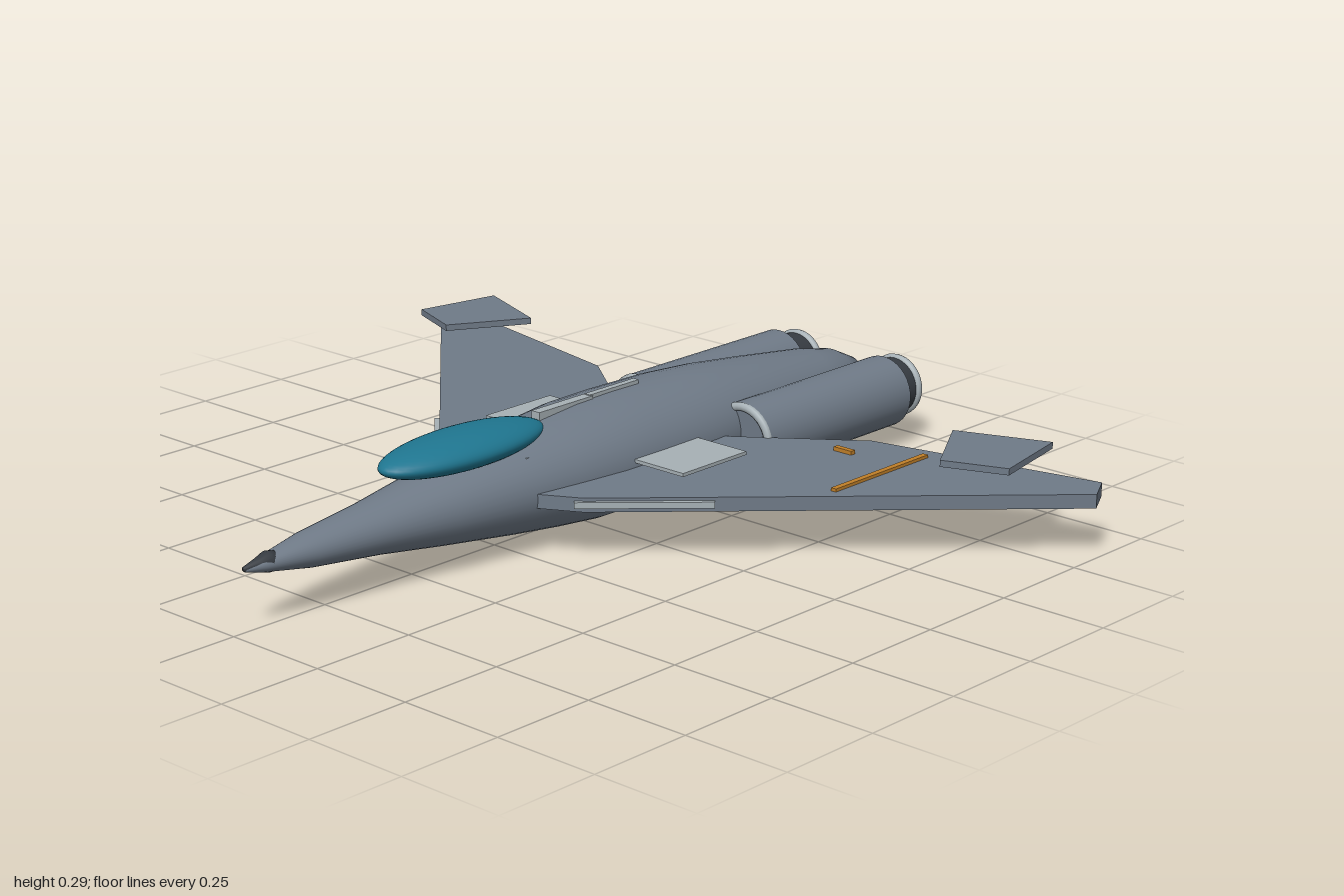
import * as THREE from 'three';

const mat = (name, color, side = THREE.FrontSide) => {
  const m = new THREE.MeshStandardMaterial({ color, side });
  m.name = name;
  return m;
};

export function createModel() {
  const group = new THREE.Group();
  const hull = mat('hull grey', 0x6f7a87, THREE.DoubleSide);
  const dark = mat('dark metal', 0x363b41, THREE.DoubleSide);
  const light = mat('light metal', 0xa6b0b5);
  const glass = mat('canopy teal', 0x1f7690);
  const glow = mat('engine blue', 0x4a80bd);
  const orange = mat('marking orange', 0xc07f28);

  const add = (name, geo, material, x = 0, y = 0, z = 0) => {
    const mesh = new THREE.Mesh(geo, material);
    mesh.name = name;
    mesh.position.set(x, y, z);
    group.add(mesh);
    return mesh;
  };
  const box = (name, material, w, h, d, x, y, z) =>
    add(name, new THREE.BoxGeometry(w, h, d), material, x, y, z);
  // Turned body along z; profile is [radius, z] from back to front
  const turned = (profile, sides = 40) =>
    new THREE.LatheGeometry(profile.map(([r, z]) => new THREE.Vector2(r, z)), sides).rotateX(Math.PI / 2);
  // Flat plate from an [x, z] outline, its top at y = 0
  const plate = (outline, depth, side) => {
    const shape = new THREE.Shape(outline.map(([x, z]) => new THREE.Vector2(x * side, z)));
    return new THREE.ExtrudeGeometry(shape, { depth, bevelEnabled: false }).rotateX(Math.PI / 2);
  };

  // Fuselage, slightly flattened
  const body = add('fuselage', turned([
    [0, -0.97], [0.035, -0.97], [0.075, -0.9], [0.1, -0.8], [0.13, -0.6], [0.15, -0.45],
    [0.162, -0.3], [0.165, -0.12], [0.163, 0], [0.15, 0.12], [0.132, 0.25], [0.1, 0.45],
    [0.07, 0.62], [0.046, 0.8], [0.02, 0.92], [0.006, 0.965], [0, 0.966],
  ]), hull, 0, 0.138, 0);
  body.scale.y = 0.815;

  // Nose tip
  add('noseTip', turned([[0, 0.87], [0.02, 0.885], [0.023, 0.905], [0.015, 0.93], [0.005, 0.968], [0, 0.97]], 20),
    dark, 0, 0.14, 0);

  // Canopy and the spine behind it
  add('canopy', new THREE.SphereGeometry(1, 40, 24).scale(0.088, 0.04, 0.235), glass, 0, 0.25, 0.345);
  box('spineFront', light, 0.024, 0.02, 0.17, 0, 0.268, 0.035);
  box('spineRear', light, 0.016, 0.02, 0.16, 0, 0.27, -0.125);
  box('canopySideRail', light, 0.008, 0.012, 0.14, 0.085, 0.214, 0.17);

  const wing = [[0.1, 0.26], [0.13, 0.25], [0.22, 0.2], [1, -0.572], [0.962, -0.645], [0.42, -0.53], [0.16, -0.33], [0.1, -0.29]];
  const upperFin = [[0.75, -0.345], [0.892, -0.4], [0.852, -0.612], [0.643, -0.53]];

  for (const side of [1, -1]) {
    const label = side > 0 ? 'left' : 'right';
    // Wing and raised tip plate
    add(label + 'Wing', plate(wing, 0.032, side), hull, 0, 0.151, 0);
    add(label + 'TipPlate', plate(upperFin, 0.015, side), hull, 0, 0.226, 0);

    // Slat on the inner leading edge
    const slat = box(label + 'Slat', light, 0.3, 0.014, 0.012, 0.315 * side, 0.137, 0.112);
    slat.rotation.y = side * 0.77;

    // Upper panel and lower pod
    box(label + 'UpperPanel', light, 0.16, 0.008, 0.21, 0.22 * side, 0.165, -0.133);
    box(label + 'LowerPod', dark, 0.08, 0.036, 0.19, 0.118 * side, 0.038, -0.285);

    // Engine housing, intake ring, nozzle and glow
    const x = 0.16 * side, y = 0.13;
    add(label + 'Engine', new THREE.CylinderGeometry(0.085, 0.085, 0.505, 36).rotateX(Math.PI / 2), hull, x, y, -0.642);
    add(label + 'IntakeRing', new THREE.TorusGeometry(0.076, 0.01, 10, 36), light, x, y, -0.39);
    const nx = 0.152 * side;
    add(label + 'Nozzle', new THREE.CylinderGeometry(0.068, 0.068, 0.07, 36, 1, true).rotateX(Math.PI / 2),
      dark, nx, y, -0.925);
    add(label + 'NozzleBack', new THREE.CircleGeometry(0.068, 36).rotateY(Math.PI), dark, nx, y, -0.94);
    add(label + 'NozzleLip', new THREE.TorusGeometry(0.064, 0.011, 10, 36), light, nx, y, -0.958);
    add(label + 'EngineGlow', new THREE.CylinderGeometry(0.045, 0.045, 0.012, 32).rotateX(Math.PI / 2),
      glow, nx, y, -0.95);
  }

  // Markings on the left wing
  box('wingStripe', orange, 0.014, 0.008, 0.32, 0.578, 0.154, -0.36);
  box('wingMark', orange, 0.05, 0.009, 0.014, 0.427, 0.156, -0.423);

  return group;
}
